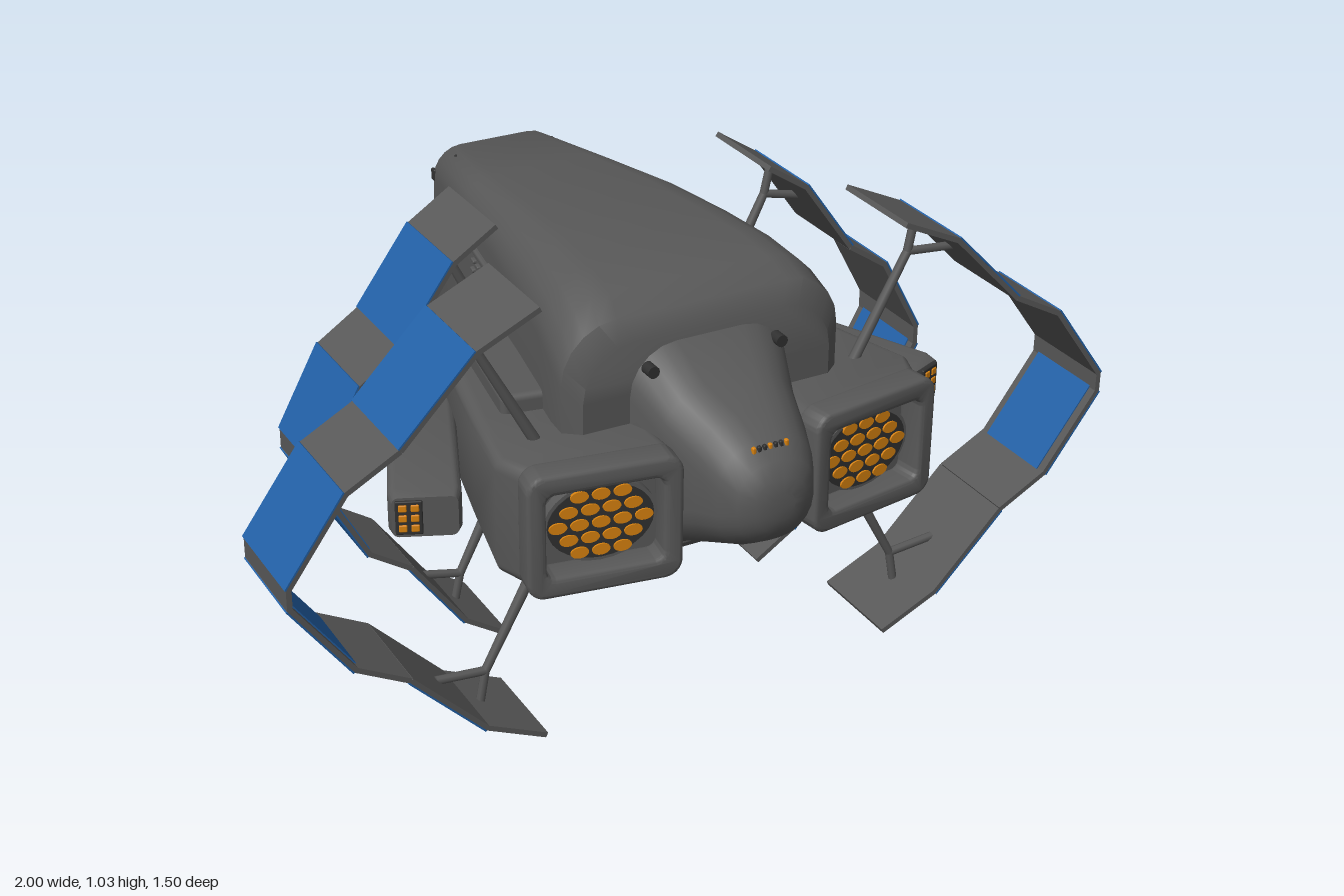
import * as THREE from 'three';
import { toCreasedNormals } from 'three/addons/utils/BufferGeometryUtils.js';
import { RoundedBoxGeometry } from 'three/addons/geometries/RoundedBoxGeometry.js';

const material = (name, color) => {
  const m = new THREE.MeshStandardMaterial({ color });
  m.name = name;
  return m;
};

// Skin through rounded rectangles, listed back to front:
// [z, centre x, half width, bottom, top, corner radius, lean of z with height]
function loft(sections, crease = 0.6) {
  const pos = [], index = [], seg = 5, n = 4 * (seg + 1);
  for (const [z, cx, w, y0, y1, r, lean = 0] of sections) {
    const cy = (y0 + y1) / 2, h = (y1 - y0) / 2;
    for (let c = 0; c < 4; c++) for (let k = 0; k <= seg; k++) {
      const a = (c + k / seg) * Math.PI / 2;
      const sx = c === 0 || c === 3 ? 1 : -1, sy = c < 2 ? 1 : -1;
      const y = cy + sy * (h - r) + r * Math.sin(a);
      pos.push(cx + sx * (w - r) + r * Math.cos(a), y, z + lean * (y - cy));
    }
  }
  for (let i = 0; i < sections.length - 1; i++) for (let j = 0; j < n; j++) {
    const a = i * n + j, b = i * n + (j + 1) % n;
    index.push(a, b, b + n, a, b + n, a + n);
  }
  const last = (sections.length - 1) * n;
  for (let j = 1; j < n - 1; j++) index.push(0, j + 1, j, last, last + j, last + j + 1);
  const g = new THREE.BufferGeometry();
  g.setAttribute('position', new THREE.Float32BufferAttribute(pos, 3));
  g.setIndex(index);
  return toCreasedNormals(g, crease);
}

// Mirrored copy across x with the corner order put right
function mirrored(geometry) {
  const g = geometry.index ? geometry.toNonIndexed() : geometry.clone();
  g.scale(-1, 1, 1);
  for (const attr of Object.values(g.attributes)) {
    const s = attr.itemSize, a = attr.array;
    for (let t = 0; t < a.length; t += 3 * s) for (let k = 0; k < s; k++) {
      [a[t + s + k], a[t + 2 * s + k]] = [a[t + 2 * s + k], a[t + s + k]];
    }
  }
  return g;
}

const box = (w, h, d, x, y, z, r = 0.015) =>
  new RoundedBoxGeometry(w, h, d, 3, r).translate(x, y, z);

// Rod between two points
function rod(a, b, r0, r1 = r0) {
  const p = new THREE.Vector3(...a), q = new THREE.Vector3(...b), d = q.clone().sub(p);
  const g = new THREE.CylinderGeometry(r1, r0, d.length(), 8);
  g.applyQuaternion(new THREE.Quaternion().setFromUnitVectors(new THREE.Vector3(0, 1, 0), d.normalize()));
  return g.translate((p.x + q.x) / 2, (p.y + q.y) / 2, (p.z + q.z) / 2);
}

function roundedRect(target, w, h, r) {
  target.moveTo(w - r, -h);
  target.absarc(w - r, h - r, r, 0, Math.PI / 2);
  target.absarc(-w + r, h - r, r, Math.PI / 2, Math.PI);
  target.absarc(-w + r, -h + r, r, Math.PI, Math.PI * 1.5);
  target.absarc(w - r, -h + r, r, Math.PI * 1.5, Math.PI * 2);
  return target;
}

export function createModel() {
  const model = new THREE.Group();
  model.name = 'spacecraft';
  const grey = material('hullGrey', 0x585858);
  const blue = material('panelBlue', 0x2260a6);
  const orange = material('lampOrange', 0xd8820f);
  const dark = material('darkGrey', 0x303030);

  const add = (name, g, mat) => {
    const m = new THREE.Mesh(g, mat);
    m.name = name;
    model.add(m);
  };
  const pair = (name, g, mat) => {
    add(name + 'Left', g, mat);
    add(name + 'Right', mirrored(g), mat);
  };

  // Tapered hull
  add('hull', loft([
    [-0.68, 0, 0.11, 0.38, 0.84, 0.06, 0.1], [-0.665, 0, 0.143, 0.325, 0.885, 0.07, 0.09],
    [-0.62, 0, 0.16, 0.285, 0.907, 0.07, 0.05], [-0.35, 0, 0.205, 0.235, 0.93, 0.08],
    [-0.1, 0, 0.248, 0.22, 0.955, 0.1], [0.1, 0, 0.282, 0.222, 0.963, 0.12],
    [0.25, 0, 0.31, 0.24, 0.957, 0.13], [0.35, 0, 0.33, 0.275, 0.94, 0.14],
    [0.41, 0, 0.336, 0.31, 0.905, 0.13], [0.44, 0, 0.3, 0.34, 0.86, 0.12],
  ]), grey);

  // Blunt nose
  add('nose', loft([
    [0.37, 0, 0.23, 0.32, 0.92, 0.12], [0.44, 0, 0.19, 0.35, 0.84, 0.11],
    [0.53, 0, 0.16, 0.4, 0.77, 0.1], [0.62, 0, 0.135, 0.435, 0.735, 0.1],
    [0.68, 0, 0.115, 0.46, 0.7, 0.09], [0.72, 0, 0.092, 0.485, 0.67, 0.08],
    [0.742, 0, 0.06, 0.515, 0.64, 0.055], [0.75, 0, 0.03, 0.545, 0.61, 0.028],
  ], 1), grey);
  for (let i = -3; i <= 3; i++) {
    add('noseVent', box(0.009, 0.016, 0.01, i * 0.013, 0.69, 0.692, 0.003), i % 3 ? dark : orange);
  }

  // Tail hatch
  add('tailPlate', loft([
    [-0.725, 0, 0.085, 0.58, 0.82, 0.03, 0.04], [-0.71, 0, 0.095, 0.56, 0.84, 0.035, 0.03],
    [-0.675, 0, 0.11, 0.545, 0.853, 0.035, 0.02], [-0.62, 0, 0.11, 0.545, 0.853, 0.035],
  ]), grey);
  add('tailKnob', box(0.11, 0.07, 0.05, 0, 0.665, -0.725, 0.02), grey);
  add('tailSlot', box(0.12, 0.02, 0.008, 0, 0.755, -0.722, 0.003), dark);
  for (const y of [0.585, 0.805]) pair('tailLamp', box(0.008, 0.025, 0.02, 0.109, y, -0.665, 0.003), orange);

  // Hull fittings: bolts, slits and side vents
  for (const [y, z] of [[0.8, 0.465], [0.385, 0.445]]) {
    pair('frontBolt', new THREE.CylinderGeometry(0.014, 0.014, 0.03, 12).rotateX(Math.PI / 2).translate(0.155, y, z), dark);
  }
  for (const y of [0.37, 0.84]) pair('rearBolt', box(0.01, 0.03, 0.02, 0.158, y, -0.61, 0.004), dark);
  pair('topSlit', box(0.012, 0.012, 0.07, 0.125, 0.9, -0.52, 0.004), dark);
  const sideX = z => 0.265 + 0.17 * z;
  pair('ventHood', box(0.02, 0.016, 0.15, 0, 0, 0, 0.006).rotateY(0.17).translate(sideX(-0.2), 0.805, -0.2), grey);
  for (let r = 0; r < 4; r++) for (let c = 0; c < 4; c++) {
    const z = -0.14 - c * 0.035 - r * 0.008;
    pair('ventSlat', box(0.016, 0.009, 0.022, 0, 0, 0, 0.003).rotateY(0.17).translate(sideX(z), 0.775 - r * 0.026, z), grey);
  }

  // Headlight pods, built around the lamp centre and turned slightly outward
  const place = g => g.rotateY(0.155).translate(0.325, 0.535, 0.575);
  pair('pod', place(loft([
    [-0.73, 0, 0.14, -0.1, 0.1, 0.03], [-0.7, 0, 0.16, -0.12, 0.125, 0.03],
    [-0.3, 0.015, 0.175, -0.13, 0.13, 0.03], [-0.1, 0.02, 0.18, -0.14, 0.138, 0.03],
    [-0.04, 0, 0.168, -0.14, 0.138, 0.03],
  ])), grey);
  const frame = roundedRect(new THREE.Shape(), 0.16, 0.135, 0.03);
  frame.holes.push(roundedRect(new THREE.Path(), 0.138, 0.108, 0.03));
  pair('lampFrame', place(toCreasedNormals(new THREE.ExtrudeGeometry(frame, {
    depth: 0.05, bevelSize: 0.01, bevelThickness: 0.01, bevelSegments: 3, curveSegments: 6,
  }).translate(0, 0, -0.035), 0.6)), grey);
  const oval = (w, h, d) => new THREE.CylinderGeometry(1, 1, 1, 28).rotateX(Math.PI / 2).scale(w, h, d);
  pair('lampRim', place(oval(0.125, 0.094, 0.03).translate(0, 0, -0.03)), grey);
  pair('lampGrille', place(oval(0.117, 0.086, 0.034).translate(0, 0, -0.03)), dark);
  for (let r = -2; r <= 2; r++) for (let c = -3; c <= 3; c++) {
    const x = (c + (r % 2 ? 0.5 : 0)) * 0.047, y = r * 0.033;
    if ((x / 0.117) ** 2 + (y / 0.088) ** 2 > 0.85) continue;
    pair('lampCell', place(oval(0.02, 0.013, 0.008).translate(x, y, -0.013)), orange);
  }

  // Slim outboard pods with a small lamp in front
  const placeOuter = g => g.rotateY(0.4).translate(0.62, 0.512, 0.34);
  pair('outerPod', placeOuter(loft([
    [-0.56, 0, 0.06, -0.045, 0.045, 0.02], [-0.53, 0, 0.075, -0.055, 0.055, 0.02],
    [-0.03, 0, 0.078, -0.055, 0.053, 0.018], [0, 0, 0.07, -0.048, 0.046, 0.015],
  ])), grey);
  pair('outerLampPlate', placeOuter(box(0.058, 0.08, 0.008, 0.034, 0, 0.002, 0.003)), dark);
  for (let r = -1; r <= 1; r++) for (const x of [0.021, 0.047]) {
    pair('outerLampCell', placeOuter(box(0.018, 0.017, 0.008, x, r * 0.024, 0.005, 0.003)), orange);
  }

  // Stacked side rails and rear equipment box
  const rail = (name, w, h, d, x, y, z) => pair(name, box(w, h, d, 0, 0, 0).rotateY(0.17).translate(x, y, z), grey);
  rail('upperRail', 0.12, 0.07, 0.45, 0.31, 0.672, 0.06);
  rail('lowerRail', 0.12, 0.07, 0.45, 0.31, 0.39, 0.06);
  pair('equipmentBox', box(0.13, 0.17, 0.18, 0, 0, 0).rotateY(0.45).translate(0.265, 0.535, -0.205), grey);
  rail('boxBracket', 0.1, 0.08, 0.2, 0.3, 0.54, -0.1);

  // Curved solar wings: alternating grey and blue facets, with struts
  const wings = [
    { name: 'frontWing', z: 0.4, depth: 0.235, xs: [0.435, 0.575, 0.745, 0.865, 0.998], foot: [0.39, 0.66], knee: [0.52, 0.9] },
    { name: 'rearWing', z: 0, depth: 0.235, xs: [0.34, 0.44, 0.567, 0.665, 0.765], foot: [0.29, 0.7], knee: [0.395, 0.91] },
  ];
  const ys = [1.03, 0.965, 0.79, 0.725, 0.54], mid = 0.515;
  for (const { name, z, depth, xs, foot, knee } of wings) {
    const pts = xs.map((x, i) => [x, ys[i]]);
    pts.push(...pts.slice().reverse().map(([x, y]) => [x, 2 * mid - y]));
    for (let i = 0; i < pts.length - 1; i++) {
      const [x0, y0] = pts[i], [x1, y1] = pts[i + 1];
      const len = Math.hypot(x1 - x0, y1 - y0);
      const facet = (t, off, d) => new THREE.BoxGeometry(len + 0.002, t, d).translate(0, off, 0)
        .rotateZ(Math.atan2(y1 - y0, x1 - x0)).translate((x0 + x1) / 2, (y0 + y1) / 2, z);
      pair(name + 'Facet', facet(0.012, -0.006, depth), grey);
      if (i % 2) pair(name + 'Cell', facet(0.004, 0.001, depth + 0.001), blue);
      if (i === 5) pair(name + 'InnerCell', facet(0.004, -0.013, depth - 0.04), blue);
    }
    for (const s of [1, -1]) {
      const at = ([x, y]) => [x, mid + s * (y - mid), z];
      const along = (i, t) => [xs[i] + (xs[i + 1] - xs[i]) * t - 0.006, ys[i] + (ys[i + 1] - ys[i]) * t - 0.006];
      pair(name + 'Strut', rod(at(foot), at(knee), 0.013, 0.01), grey);
      pair(name + 'StrutForkOuter', rod(at(knee), at(along(1, 0.4)), 0.01), grey);
      pair(name + 'StrutForkInner', rod(at(knee), at(along(0, 0.75)), 0.01), grey);
    }
  }
  return model;
}
